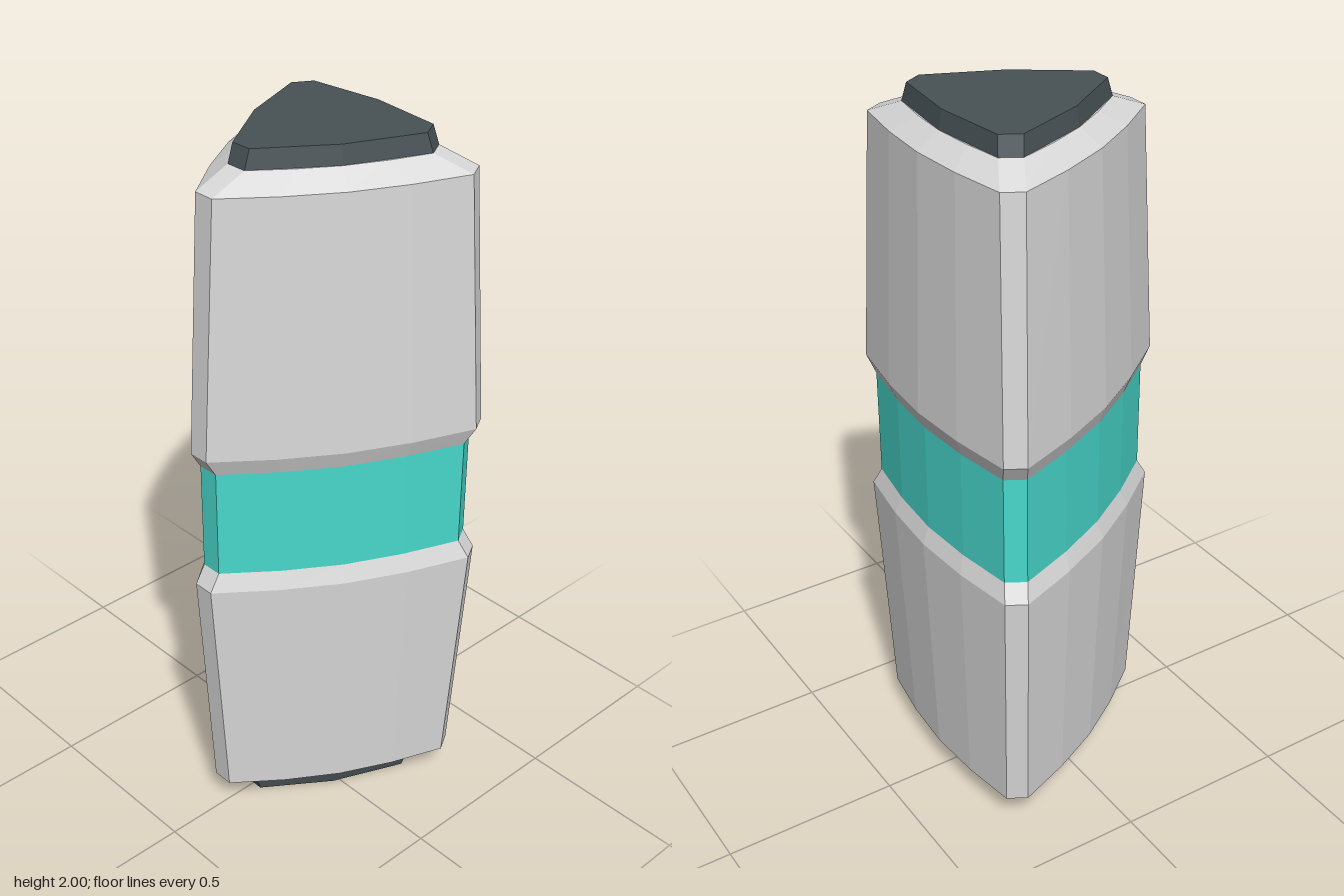
import * as THREE from 'three';

const CENTRE_Z = -0.08;
const RADII = [0.44, 0.424, 0.424]; // front corner, back left, back right
const HALF_FLAT = 0.03; // half width of each cut corner

// Rounded-triangle outline, every corner drawn inward by inset
function outline(inset, segments) {
  const corners = RADII.map((r, i) => {
    const a = (i * Math.PI * 2) / 3;
    const out = new THREE.Vector2(Math.sin(a), Math.cos(a)).multiplyScalar(r - inset);
    const along = new THREE.Vector2(Math.cos(a), -Math.sin(a)).multiplyScalar(HALF_FLAT);
    out.y += CENTRE_Z;
    return [out.clone().sub(along), out.clone().add(along)];
  });
  const points = [];
  corners.forEach((corner, i) => {
    points.push(corner[0]);
    const start = corner[1], end = corners[(i + 1) % 3][0];
    const chord = end.clone().sub(start);
    const normal = new THREE.Vector2(-chord.y, chord.x);
    for (let s = 0; s < segments; s++) {
      const t = s / segments;
      const bulge = 0.054 * Math.sin(Math.PI * t);
      points.push(start.clone().addScaledVector(chord, t).addScaledVector(normal, bulge));
    }
  });
  return points;
}

// Skin a list of [height, inset] levels, lowest first
function loft(levels, segments, closeBottom, closeTop) {
  const rings = levels.map(([y, inset]) =>
    outline(inset, segments).map((p) => [p.x, y, p.y]));
  const position = [];
  const n = rings[0].length;
  const last = rings.length - 1;
  for (let i = 0; i < n; i++) {
    const j = (i + 1) % n;
    for (let k = 0; k < last; k++) {
      const a = rings[k], b = rings[k + 1];
      position.push(...a[i], ...a[j], ...b[j], ...a[i], ...b[j], ...b[i]);
    }
    if (closeBottom) position.push(0, levels[0][0], CENTRE_Z, ...rings[0][j], ...rings[0][i]);
    if (closeTop) position.push(0, levels[last][0], CENTRE_Z, ...rings[last][i], ...rings[last][j]);
  }
  const geometry = new THREE.BufferGeometry();
  geometry.setAttribute('position', new THREE.Float32BufferAttribute(position, 3));
  geometry.computeVertexNormals();
  return geometry;
}

// Reflect levels about the middle height
const mirrored = (levels) => levels.map(([y, inset]) => [2 - y, inset]).reverse();

function material(name, color) {
  const m = new THREE.MeshStandardMaterial({ color, flatShading: true });
  m.name = name;
  return m;
}

export function createModel() {
  const group = new THREE.Group();
  group.name = 'capsule';
  const grey = material('light grey', 0xd8d8d8);
  const teal = material('teal', 0x48d8cc);
  const slate = material('dark slate', 0x485256);

  const add = (name, geometry, mat) => {
    const mesh = new THREE.Mesh(geometry, mat);
    mesh.name = name;
    group.add(mesh);
  };

  // Tapered shells with bevelled ends
  const shell = [[1.155, 0.03], [1.205, 0], [1.908, 0.045], [1.95, 0.147]];
  add('upperShell', loft(shell, 4, true, true), grey);
  add('lowerShell', loft(mirrored(shell), 4, true, true), grey);

  // Recessed band around the middle
  add('middleBand', loft([[0.845, 0.03], [1.155, 0.03]], 4, false, false), teal);

  // Small end caps
  const cap = [[1.947, 0.146], [2, 0.163]];
  add('topCap', loft(cap, 2, true, true), slate);
  add('bottomCap', loft(mirrored(cap), 2, true, true), slate);

  return group;
}
